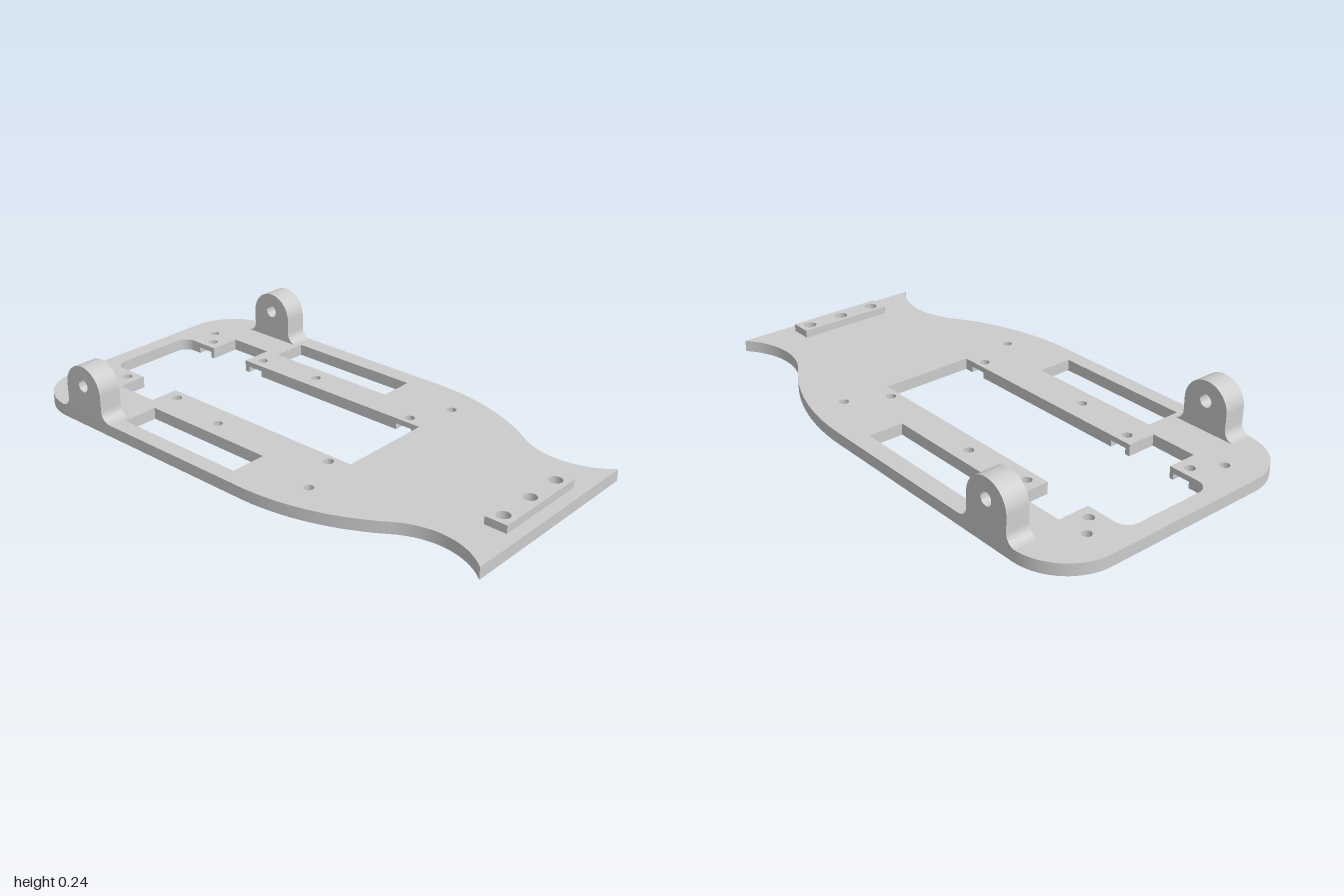
import * as THREE from 'three';
import { toCreasedNormals } from 'three/addons/utils/BufferGeometryUtils.js';

const PLATE = 0.045, POCKET = 0.024, POCKET_R = 0.034, HALF_W = 0.539;

// Shapes for flat parts are drawn from above: shape x = x, shape y = -z.
const BAR_HOLES = [[0.909, 0.15], [0.909, 0], [0.909, -0.15]];
const SCREW_HOLES = [
  [-0.874, 0.313], [-0.254, 0.267], [0.309, 0.393],
  [-0.874, -0.322], [-0.254, -0.265], [0.307, -0.39],
];
// Holes with an open pocket underneath, along each edge of the main opening
const POCKETS_BACK = [[-0.813, 0.245], [-0.524, 0.245], [0.235, 0.236]];
const POCKETS_FRONT = [[-0.813, -0.219], [-0.524, -0.219], [0.235, -0.212]];

function circle(x, y, r) {
  return new THREE.Path().absarc(x, y, r, 0, Math.PI * 2, true);
}

function rect(x0, x1, y0, y1) {
  return [[x0, y0], [x1, y0], [x1, y1], [x0, y1]].map(p => new THREE.Vector2(...p));
}

// Outer contours run counter-clockwise so that hole walls face inward
function extrude(shape, depth) {
  const geo = new THREE.ExtrudeGeometry(shape, { depth, bevelEnabled: false, curveSegments: 24 });
  return toCreasedNormals(geo, Math.PI / 6);
}

// Lays a shape flat and extrudes it upward from height y
function flat(shape, y, height) {
  return extrude(shape, height).rotateX(-Math.PI / 2).translate(0, y, 0);
}

// Outer contour: rounded rear, smooth S-curve to the waist, flared end
function outline() {
  const pts = [], half = Math.PI / 2;
  const arc = (cx, cy, r, a0, a1, n) => {
    for (let i = 0; i <= n; i++) {
      const a = a0 + (a1 - a0) * i / n;
      pts.push(new THREE.Vector2(cx + r * Math.cos(a), cy + r * Math.sin(a)));
    }
  };
  arc(-0.79, HALF_W - 0.21, 0.21, Math.PI, half, 16);
  // Convex arc tangent to the side and to the concave waist arc
  const x0 = 0.13, waistX = 0.807, waistY = 0.327, r = 0.289;
  const dx = waistX - x0, dy = HALF_W - waistY;
  const sum = (dx * dx + dy * dy) / (2 * dy), R = sum - r, turn = Math.asin(dx / sum);
  arc(x0, HALF_W - R, R, half, half - turn, 20);
  arc(waistX, waistY + r, r, -half - turn, -half + Math.asin((1 - waistX) / r), 20);
  const mirrored = pts.map(p => new THREE.Vector2(p.x, -p.y));
  return new THREE.Shape([...mirrored, ...pts.reverse()]);
}

// Main opening with cross-shaped side bays; optional pockets bite into its edges
function opening(withPockets) {
  const back = 0.201, front = -0.178, x0 = -0.933, x1 = 0.306, c = 0.05;
  const bayL = -0.763, bayR = -0.578;
  const p = new THREE.Path();
  const bite = ([x, y], edge) => {
    if (!withPockets) return;
    const s = Math.sign(edge), r = POCKET_R;
    p.lineTo(x - s * r, edge);
    p.absarc(x, y, r, s > 0 ? Math.PI : 0, s > 0 ? 0 : -Math.PI, true);
    p.lineTo(x + s * r, edge);
  };
  p.moveTo(x0, front + c);
  p.lineTo(x0, back - c);
  p.absarc(x0 + c, back - c, c, Math.PI, Math.PI / 2, true);
  bite(POCKETS_BACK[0], back);
  for (const [x, y] of [[bayL, back], [bayL, 0.325], [bayR, 0.325], [bayR, back]]) p.lineTo(x, y);
  bite(POCKETS_BACK[1], back);
  bite(POCKETS_BACK[2], back);
  p.lineTo(x1, back);
  p.lineTo(x1, front);
  bite(POCKETS_FRONT[2], front);
  bite(POCKETS_FRONT[1], front);
  for (const [x, y] of [[bayR, front], [bayR, -0.294], [bayL, -0.294], [bayL, front]]) p.lineTo(x, y);
  bite(POCKETS_FRONT[0], front);
  p.absarc(x0 + c, front + c, c, -Math.PI / 2, -Math.PI, true);
  return p;
}

function plateShape(withPockets) {
  const s = outline();
  s.holes.push(opening(withPockets));
  s.holes.push(new THREE.Path(rect(-0.521, 0.042, 0.329, 0.468)));
  s.holes.push(new THREE.Path(rect(-0.521, 0.042, -0.476, -0.334)));
  for (const [x, y] of SCREW_HOLES) s.holes.push(circle(x, y, 0.018));
  for (const [x, y] of BAR_HOLES) s.holes.push(circle(x, y, 0.025));
  if (!withPockets) {
    for (const [x, y] of [...POCKETS_BACK, ...POCKETS_FRONT]) s.holes.push(circle(x, y, 0.019));
  }
  return s;
}

// Upright lug with round top, cross hole and filleted foot (drawn from the front)
function lugShape() {
  const cx = -0.669, r = 0.094, f = 0.04, top = 0.236, base = PLATE - 0.005;
  const s = new THREE.Shape();
  s.moveTo(cx - r - f, base);
  s.lineTo(cx + r + f, base);
  s.absarc(cx + r + f, PLATE + f, f, Math.PI * 1.5, Math.PI, true);
  s.absarc(cx, top - r, r, 0, Math.PI, false);
  s.absarc(cx - r - f, PLATE + f, f, 0, -Math.PI / 2, true);
  s.holes.push(circle(cx, 0.16, 0.025));
  return s;
}

export function createModel() {
  const group = new THREE.Group();
  const grey = new THREE.MeshStandardMaterial({ color: 0xcccccc });
  grey.name = 'grey';
  const add = (name, geo) => {
    const mesh = new THREE.Mesh(geo, grey);
    mesh.name = name;
    group.add(mesh);
  };

  // Base plate in two layers, the lower one carrying the pockets
  add('plateLower', flat(plateShape(true), 0, POCKET));
  add('plateUpper', flat(plateShape(false), POCKET, PLATE - POCKET));

  // Pair of lugs flush with the long sides
  const lugDepth = 0.091;
  add('lugFront', extrude(lugShape(), lugDepth).translate(0, 0, HALF_W - lugDepth));
  add('lugBack', extrude(lugShape(), lugDepth).translate(0, 0, -HALF_W));

  // Raised mounting bar with three holes
  const bar = new THREE.Shape(rect(0.868, 0.954, -0.194, 0.194));
  for (const [x, y] of BAR_HOLES) bar.holes.push(circle(x, y, 0.025));
  add('mountingBar', flat(bar, PLATE, 0.03));

  return group;
}
